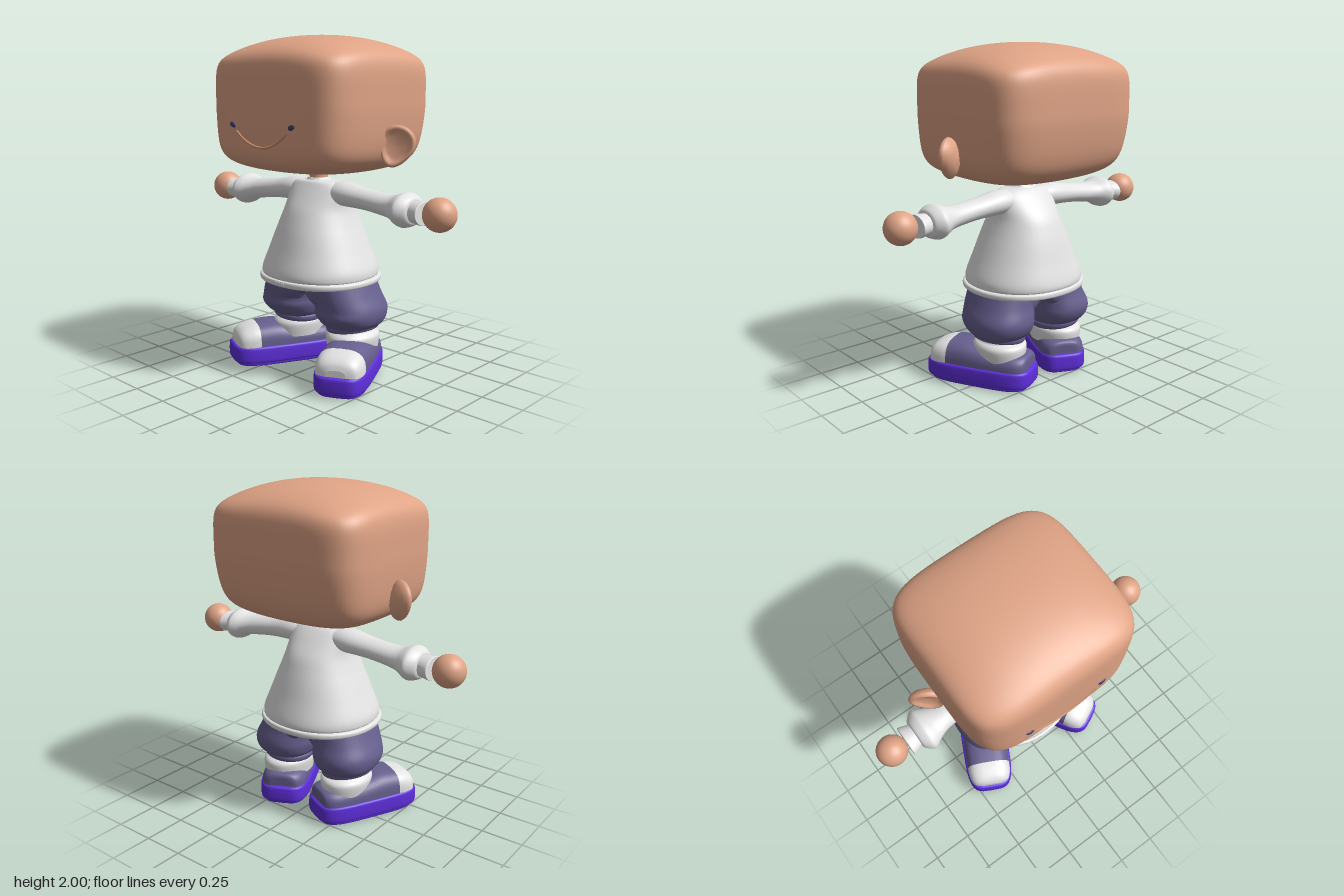
import * as THREE from 'three';
import { mergeVertices } from 'three/addons/utils/BufferGeometryUtils.js';

const material = (name, color) => {
  const m = new THREE.MeshStandardMaterial({ color });
  m.name = name;
  return m;
};

// Where the ring's two radii and the axis position go, for each loft axis
const PLACE = {
  x: (t, a, b) => [t, a, b],
  y: (t, a, b) => [b, t, a],
  z: (t, a, b) => [a, b, t],
};

// Smooth loft through superellipse rings: rows of [t, radiusA, radiusB, centreA, centreB]
function loft(axis, rows, power = 2, steps = 4, seg = 40) {
  if (axis === 'y') rows = rows.map(([t, rx, rz, cx = 0, cz = 0]) => [t, rz, rx, cz, cx]);
  const at = (i) => rows[Math.max(0, Math.min(rows.length - 1, i))];
  const rings = [];
  for (let i = 0; i < rows.length - 1; i++) {
    for (let k = 0; k < steps; k++) {
      const f = k / steps;
      rings.push([0, 1, 2, 3, 4].map((c) => {
        const [p, q, r, s] = [-1, 0, 1, 2].map((d) => at(i + d)[c] ?? 0);
        return q + 0.5 * f * (r - p + f * (2 * p - 5 * q + 4 * r - s + f * (3 * (q - r) + s - p)));
      }));
    }
  }
  rings.push([0, 1, 2, 3, 4].map((c) => at(rows.length)[c] ?? 0));
  const pos = [], index = [];
  const round = (v) => Math.sign(v) * Math.abs(v) ** (2 / power);
  const addRing = ([t, ra, rb, ca, cb]) => {
    for (let i = 0; i < seg; i++) {
      const ang = (i / seg) * Math.PI * 2;
      pos.push(...PLACE[axis](t, ca + ra * round(Math.cos(ang)), cb + rb * round(Math.sin(ang))));
    }
  };
  rings.forEach(addRing);
  for (let j = 0; j < rings.length - 1; j++) {
    for (let i = 0; i < seg; i++) {
      const a = j * seg + i, b = j * seg + (i + 1) % seg;
      index.push(a, b, a + seg, b, b + seg, a + seg);
    }
  }
  // flat end caps
  [rings[0], rings[rings.length - 1]].forEach((ring, end) => {
    const base = pos.length / 3;
    addRing(ring);
    pos.push(...PLACE[axis](ring[0], ring[3], ring[4]));
    for (let i = 0; i < seg; i++) {
      const a = base + i, b = base + (i + 1) % seg;
      index.push(base + seg, end ? a : b, end ? b : a);
    }
  });
  const g = new THREE.BufferGeometry();
  g.setAttribute('position', new THREE.Float32BufferAttribute(pos, 3));
  g.setIndex(index);
  g.computeVertexNormals();
  return g;
}

function mirrored(geo) {
  const g = geo.clone().scale(-1, 1, 1);
  const idx = g.index.array;
  for (let i = 0; i < idx.length; i += 3) [idx[i], idx[i + 1]] = [idx[i + 1], idx[i]];
  return g;
}

// Rounded box head with a domed crown, tapering towards the chin and nape
const HEAD = { x: 0.52, up: 0.4, down: 0.39, z: 0.475, y: 1.6, plan: 5, crown: 5, jaw: 6 };
function headGeometry() {
  let g = new THREE.BoxGeometry(2, 2, 2, 28, 28, 28);
  g.deleteAttribute('normal');
  g.deleteAttribute('uv');
  g = mergeVertices(g);
  const p = g.attributes.position, m = HEAD.plan;
  for (let i = 0; i < p.count; i++) {
    let [x, y, z] = [p.getX(i), p.getY(i), p.getZ(i)];
    const q = y > 0 ? HEAD.crown : HEAD.jaw;
    const n = ((Math.abs(x) ** m + Math.abs(z) ** m) ** (q / m) + Math.abs(y) ** q) ** (1 / q);
    x /= n; y /= n; z /= n;
    const low = Math.max(0, -y) ** 1.4;
    const dome = 1 - (y > 0 ? 0.19 : 0.08) * (x * x + z * z) * y * y;
    p.setXYZ(i, x * HEAD.x * (1 - 0.075 * low), HEAD.y + y * dome * (y > 0 ? HEAD.up : HEAD.down),
      z * HEAD.z * (z < 0 ? 1 - 0.15 * low : 1));
  }
  g.computeVertexNormals();
  return g;
}
function faceZ(x, y) {
  const v = (HEAD.y - y) / HEAD.down, q = HEAD.jaw, m = HEAD.plan;
  return HEAD.z * ((1 - v ** q) ** (m / q) - Math.abs(x / HEAD.x) ** m) ** (1 / m);
}

// Cupped ear, facing forwards and outwards
function earGeometry() {
  const profile = [[0, -0.052], [0.05, -0.048], [0.085, -0.032], [0.104, -0.01], [0.108, 0.006],
    [0.1, 0.019], [0.088, 0.019], [0.076, 0.008], [0.055, 0], [0, -0.002]];
  const g = new THREE.LatheGeometry(profile.map(([r, y]) => new THREE.Vector2(r, y)), 40);
  g.rotateX(Math.PI / 2).scale(1, 1.1, 1);
  const p = g.attributes.position;
  for (let i = 0; i < p.count; i++) p.setX(i, p.getX(i) * (0.88 + 1.7 * p.getY(i)));
  g.computeVertexNormals();
  return g.rotateZ(-0.33).rotateY(0.56).translate(0.55, 1.385, -0.02);
}

// Moves a shoe part to the left foot, toes turned out
const onFoot = (geo) => geo.rotateY(0.46).translate(0.283, 0, 0.05);

// Shoe top lofted from heel to toe: rows of [z, halfWidth, height], flattened inside the sole
function shoeTop(rows) {
  const g = loft('z', rows.map(([z, w, h]) => [z, w, h, 0, 0.12]), 3);
  const p = g.attributes.position;
  for (let i = 0; i < p.count; i++) p.setY(i, Math.max(0.1, p.getY(i)));
  return onFoot(g);
}

export function createModel() {
  const model = new THREE.Group();
  const skin = material('skin', 0xe0a486);
  const cloth = material('white cloth', 0xe4e4e4);
  const denim = material('dusky purple', 0x67608f);
  const rubber = material('violet rubber', 0x5f2fdc);
  const ink = material('dark blue', 0x40406e);
  const lip = material('smile', 0xd3946f);

  const add = (name, geo, mat) => {
    const mesh = new THREE.Mesh(geo, mat);
    mesh.name = name;
    model.add(mesh);
  };
  const addPair = (name, geo, mat) => {
    add(name + 'Left', geo, mat);
    add(name + 'Right', mirrored(geo), mat);
  };

  // Head, face and ears
  add('head', headGeometry(), skin);
  addPair('ear', earGeometry(), skin);
  addPair('eye', new THREE.SphereGeometry(1, 20, 12).scale(0.025, 0.015, 0.009)
    .rotateZ(0.35).translate(0.235, 1.495, faceZ(0.235, 1.495)), ink);
  const smile = [];
  for (let i = -6; i <= 6; i++) {
    const x = i / 30, y = 1.375 + 0.085 * (x / 0.2) ** 2;
    smile.push(new THREE.Vector3(x, y, faceZ(x, y) + 0.001));
  }
  add('smile', new THREE.TubeGeometry(new THREE.CatmullRomCurve3(smile), 40, 0.007, 8), lip);
  add('neck', new THREE.CylinderGeometry(0.055, 0.055, 0.14, 32).translate(0, 1.17, 0.015), skin);

  // Flared shirt with a rolled hem and collar
  add('shirt', loft('y', [[0.66, 0.25, 0.24], [0.61, 0.335, 0.32], [0.6, 0.347, 0.332], [0.62, 0.35, 0.337],
    [0.66, 0.342, 0.329], [0.75, 0.304, 0.3], [0.85, 0.262, 0.27], [0.92, 0.233, 0.245],
    [1, 0.206, 0.21], [1.08, 0.2, 0.153, 0, 0.005], [1.13, 0.188, 0.113, 0, 0.01],
    [1.156, 0.15, 0.088, 0, 0.015], [1.163, 0.08, 0.072, 0, 0.015], [1.178, 0.062, 0.062, 0, 0.015]], 2.15), cloth);
  add('shirtHem', loft('y', [[0.62, 0.27, 0.26], [0.572, 0.335, 0.315], [0.563, 0.355, 0.335],
    [0.571, 0.367, 0.346], [0.592, 0.367, 0.346], [0.6, 0.35, 0.335], [0.601, 0.31, 0.3]], 2.15), cloth);
  add('hemTag', new THREE.BoxGeometry(0.07, 0.01, 0.008).translate(0, 0.586, 0.345), cloth);

  // Sleeves, cuffs and round hands
  addPair('sleeve', loft('x', [[0.08, 0.06, 0.08, 1.09], [0.2, 0.071, 0.092, 1.092], [0.35, 0.061, 0.08, 1.077],
    [0.5, 0.062, 0.083, 1.06], [0.57, 0.07, 0.1, 1.053], [0.62, 0.092, 0.126, 1.048],
    [0.65, 0.096, 0.133, 1.047], [0.69, 0.078, 0.1, 1.045], [0.7, 0.06, 0.08, 1.045]]), cloth);
  addPair('sleeveCuff', loft('x', [[0.67, 0.06, 0.07, 1.043], [0.7, 0.06, 0.074, 1.042],
    [0.755, 0.065, 0.092, 1.04], [0.765, 0.063, 0.09, 1.04]]), cloth);
  addPair('hand', new THREE.SphereGeometry(0.093, 36, 24).translate(0.857, 1.045, 0), skin);

  // Baggy trousers, joined by an arched seat
  add('trouserSeat', loft('x', [[-0.2, 0.14, 0.212, 0.51, -0.01], [-0.08, 0.125, 0.207, 0.54, -0.01],
    [-0.04, 0.1, 0.2, 0.562, -0.01], [0, 0.092, 0.197, 0.57, -0.01], [0.04, 0.1, 0.2, 0.562, -0.01],
    [0.08, 0.125, 0.207, 0.54, -0.01], [0.2, 0.14, 0.212, 0.51, -0.01]], 2.8), denim);
  addPair('trouserLeg', loft('y', [[0.3, 0.14, 0.15, 0.22, -0.04], [0.312, 0.158, 0.17, 0.22, -0.04],
    [0.34, 0.178, 0.2, 0.225, -0.037], [0.385, 0.19, 0.226, 0.225, -0.03], [0.43, 0.188, 0.225, 0.222, -0.03],
    [0.5, 0.18, 0.22, 0.2, -0.015], [0.6, 0.178, 0.213, 0.165, -0.005]], 2.3), denim);
  addPair('trouserCuff', loft('y', [[-0.022, 0.13, 0.14], [-0.02, 0.148, 0.158], [0, 0.155, 0.165],
    [0.018, 0.15, 0.16], [0.025, 0.13, 0.14]]).rotateZ(0.13).translate(0.225, 0.3, -0.04), denim);
  addPair('sock', loft('y', [[0.17, 0.14, 0.17, 0.225, -0.045], [0.235, 0.148, 0.177, 0.225, -0.045],
    [0.262, 0.14, 0.165, 0.222, -0.045], [0.28, 0.122, 0.14, 0.22, -0.04],
    [0.32, 0.12, 0.135, 0.22, -0.04]]), cloth);

  // Shoes
  addPair('shoeTread', onFoot(loft('y', [[0.002, 0.132, 0.3], [0.01, 0.142, 0.31], [0.04, 0.142, 0.31]], 4)), rubber);
  addPair('shoeSole', onFoot(loft('y', [[0.02, 0.13, 0.3], [0.024, 0.149, 0.324], [0.04, 0.158, 0.334],
    [0.1, 0.158, 0.334], [0.122, 0.152, 0.326], [0.128, 0.13, 0.3]], 4)), rubber);
  addPair('shoeUpper', shoeTop([[-0.312, 0.07, 0.06], [-0.3, 0.105, 0.082], [-0.24, 0.136, 0.094],
    [-0.1, 0.144, 0.106], [0, 0.146, 0.122], [0.08, 0.146, 0.133], [0.18, 0.143, 0.127]]), denim);
  addPair('shoeToe', shoeTop([[0.18, 0.143, 0.127], [0.22, 0.142, 0.12], [0.27, 0.13, 0.102],
    [0.3, 0.106, 0.077], [0.314, 0.06, 0.045]]), cloth);
  return model;
}
